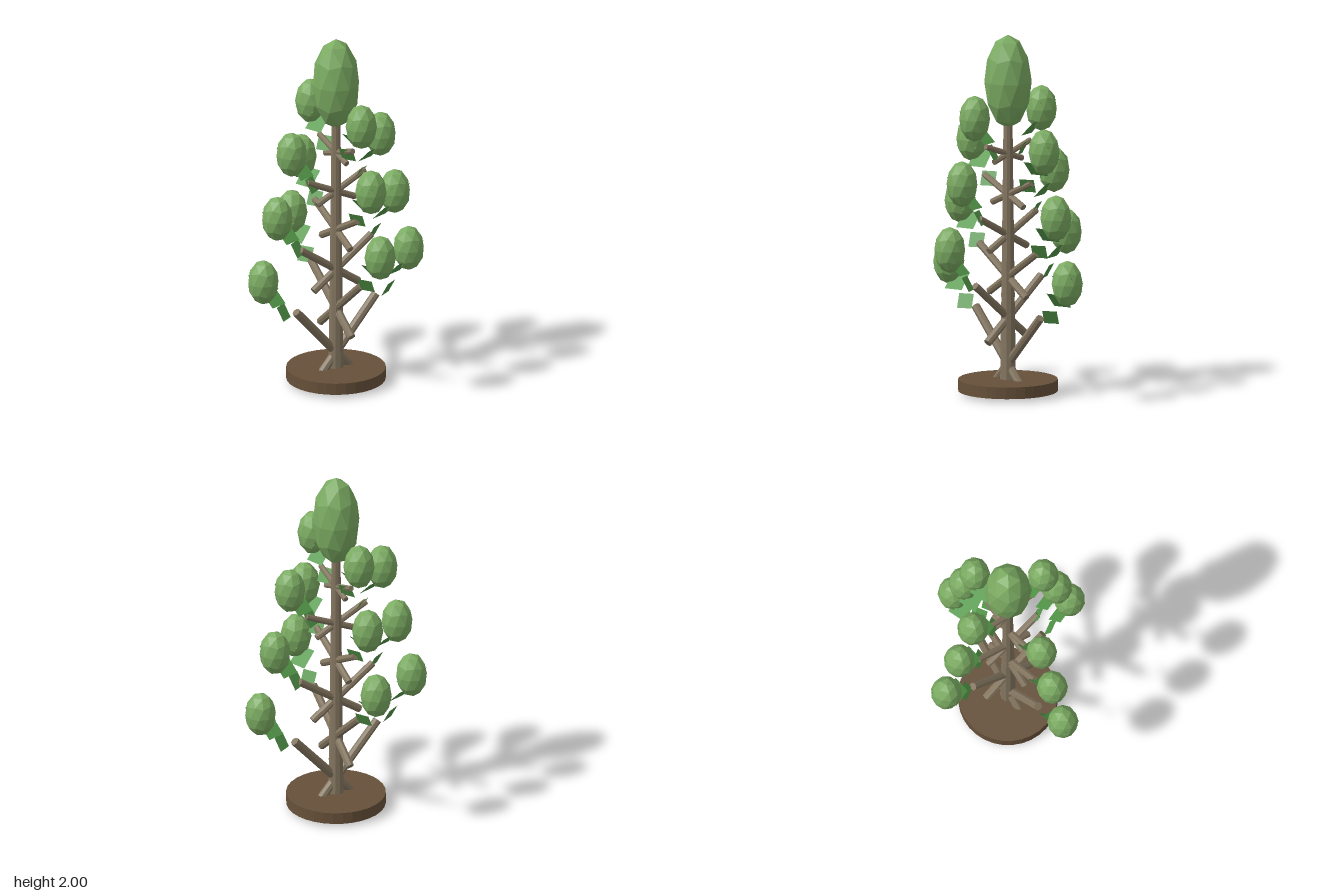
import * as THREE from 'three';

const mat = (color, extra = {}) =>
  new THREE.MeshStandardMaterial({ color, flatShading: true, ...extra });
const wood = mat(0x847660);
const soil = mat(0x665039);
const foliage = mat(0x7bab62);
const leafGreen = mat(0x559a4a, { side: THREE.DoubleSide });

function add(parent, name, geometry, material, x = 0, y = 0, z = 0) {
  const mesh = new THREE.Mesh(geometry, material);
  mesh.name = name;
  mesh.position.set(x, y, z);
  parent.add(mesh);
  return mesh;
}

// Faceted ball with a vertex at each pole, stretched upwards
function clump(radius, halfHeight) {
  const g = new THREE.IcosahedronGeometry(1, 1);
  g.rotateZ(-Math.atan(2 / (1 + Math.sqrt(5))));
  return g.scale(radius, halfHeight, radius);
}

// Flat square leaf spanned by two edge vectors
function leaf(across, up) {
  const a = new THREE.Vector3(...across), b = new THREE.Vector3(...up);
  const corner = (s, t) => a.clone().multiplyScalar(s / 2).addScaledVector(b, t / 2);
  const g = new THREE.BufferGeometry().setFromPoints(
    [corner(-1, -1), corner(1, -1), corner(1, 1), corner(-1, 1)]);
  g.setIndex([0, 1, 2, 0, 2, 3]);
  g.computeVertexNormals();
  return g;
}

// Straight limb between two points in the xy plane
function limb(parent, [x0, y0], [x1, y1], radius) {
  const length = Math.hypot(x1 - x0, y1 - y0);
  const mesh = add(parent, 'branch', new THREE.CylinderGeometry(radius * 0.95, radius, length, 8),
    wood, (x0 + x1) / 2, (y0 + y1) / 2);
  mesh.rotation.z = Math.atan2(y1 - y0, x1 - x0) - Math.PI / 2;
}

export function createModel() {
  const tree = new THREE.Group();
  tree.name = 'tree';

  // Round base
  add(tree, 'base', new THREE.CylinderGeometry(0.273, 0.273, 0.065, 32), soil, 0, 0.053, 0);

  // Trunk in stacked, tapering sections
  const sections = 6, step = 0.255;
  for (let i = 0; i < sections; i++) {
    const r = 0.044 - 0.0032 * i;
    add(tree, 'trunkSection', new THREE.CylinderGeometry(r - 0.004, r, step, 10),
      wood, 0, 0.03 + step * (i + 0.5), 0);
  }

  // Crown
  add(tree, 'crown', clump(0.131, 0.26), foliage, 0, 1.74, 0);

  // Leaves twist and grow towards the clump: offset from it, then the two edges
  const clumpShape = clump(0.086, 0.128);
  const leaves = [
    { offset: [-0.135, -0.205], shape: leaf([0.075, 0, -0.04], [0.02, 0.075, 0.035]) },
    { offset: [-0.067, -0.103], shape: leaf([0.105, 0, -0.03], [0.022, 0.08, 0.077]) },
    { offset: [0, 0], shape: leaf([0.133, 0, -0.02], [0.016, 0.085, 0.1]) },
  ];

  // Tiers alternate between the x and z directions, flattening as they rise
  const tiers = [
    { from: [-0.14, 0.018], to: [0.263, 0.457], clump: [0.48, 0.678] },
    { from: [-0.152, 0.302], to: [0.245, 0.632], clump: [0.433, 0.855] },
    { from: [-0.148, 0.555], to: [0.233, 0.812], clump: [0.388, 1.03] },
    { from: [-0.14, 0.812], to: [0.21, 1.0], clump: [0.342, 1.21] },
    { from: [-0.125, 1.055], to: [0.19, 1.198], clump: [0.293, 1.385] },
    { from: [-0.105, 1.302], to: [0.165, 1.395], clump: [0.248, 1.563] },
  ];
  tiers.forEach((tier, i) => {
    for (const side of [0, 1]) {
      const bough = new THREE.Group();
      bough.name = 'bough';
      bough.rotation.y = (i % 2) * Math.PI / 2 + side * Math.PI;
      tree.add(bough);
      limb(bough, tier.from, tier.to, 0.025 - 0.0017 * i);
      const [cx, cy] = tier.clump;
      add(bough, 'leafClump', clumpShape, foliage, cx, cy);
      for (const { offset, shape } of leaves) {
        add(bough, 'leaf', shape, leafGreen, cx + offset[0], cy + offset[1]);
      }
    }
  });
  return tree;
}
